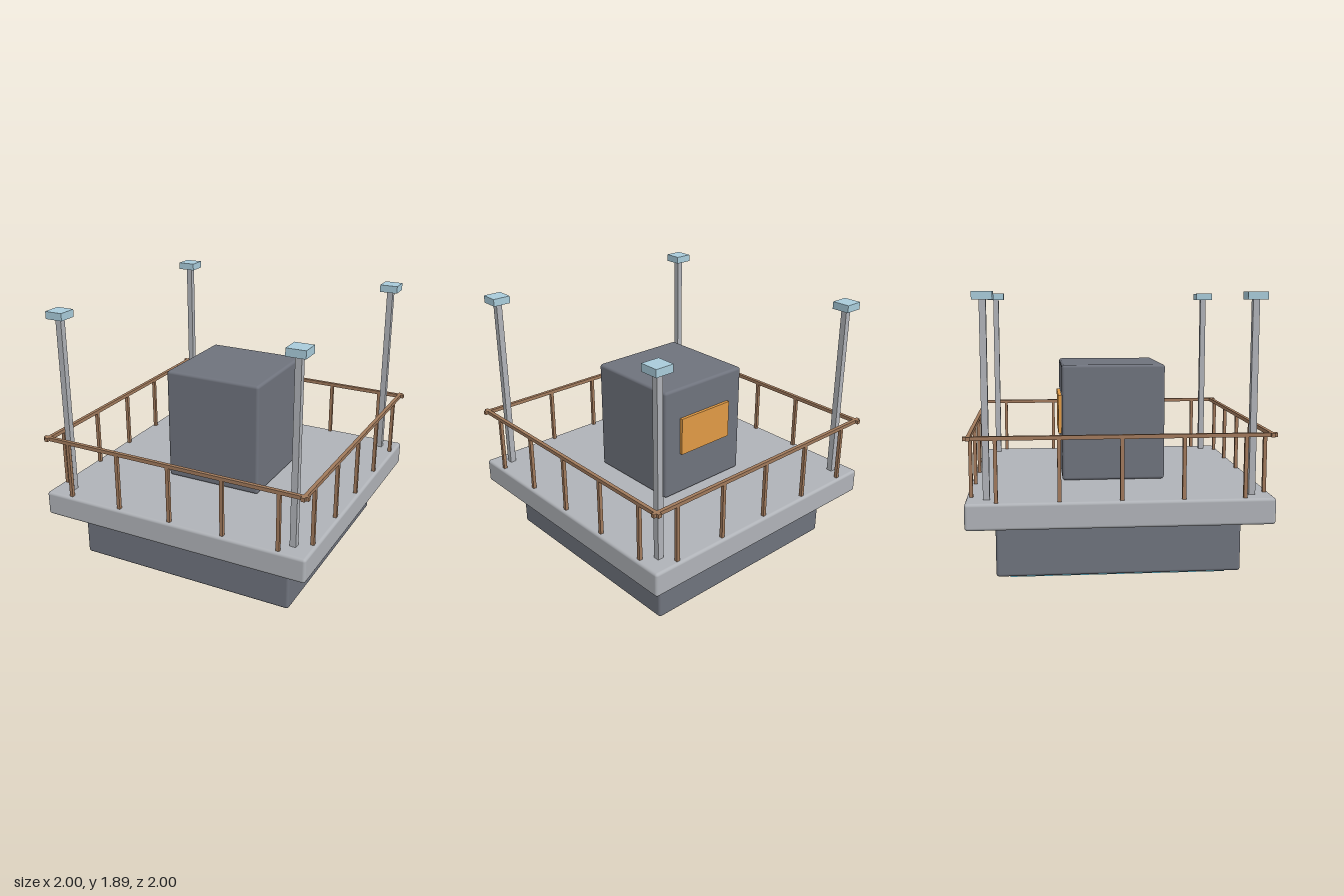
import * as THREE from 'three';
import { RoundedBoxGeometry } from 'three/addons/geometries/RoundedBoxGeometry.js';

const mat = (color) => new THREE.MeshStandardMaterial({ color });

export function createModel() {
  const model = new THREE.Group();
  const deckGrey = mat(0xb0b3b8), slate = mat(0x6f737d), brown = mat(0xa17a5c);
  const paleBlue = mat(0xa9ccdb), cyan = mat(0x78d2ea), orange = mat(0xe09a45);

  // Box spanning y0..y1, centred on x, z; a radius rounds its edges
  const block = (name, material, w, d, y0, y1, x = 0, z = 0, radius = 0, parent = model) => {
    const h = y1 - y0;
    const geometry = radius
      ? new RoundedBoxGeometry(w, h, d, 3, radius)
      : new THREE.BoxGeometry(w, h, d);
    const mesh = new THREE.Mesh(geometry, material);
    mesh.name = name;
    mesh.position.set(x, (y0 + y1) / 2, z);
    parent.add(mesh);
  };

  // Body, from the bottom up
  block('undersidePanel', cyan, 1.45, 1.45, 0, 0.04);
  block('base', slate, 1.63, 1.63, 0.03, 0.39, 0, 0, 0.02);
  block('deck', deckGrey, 2, 2, 0.395, 0.57, 0, 0, 0.02);
  block('cabin', slate, 0.725, 0.725, 0.573, 1.39, 0, 0, 0.02);
  block('cabinBackPanel', orange, 0.455, 0.03, 0.89, 1.165, 0, -0.37);

  // Corner masts with square caps
  for (const x of [-0.865, 0.865]) {
    for (const z of [-0.865, 0.865]) {
      block('mast', deckGrey, 0.043, 0.043, 0.565, 1.84, x, z);
      block('mastCap', paleBlue, 0.13, 0.13, 1.838, 1.89, x, z);
    }
  }

  // One railing per side, turned about the centre
  for (let side = 0; side < 4; side++) {
    const railing = new THREE.Group();
    railing.name = 'railing';
    railing.rotation.y = side * Math.PI / 2;
    block('handrail', brown, 2, 0.026, 0.969, 0.995, 0, 0.967, 0, railing);
    for (let i = -2; i <= 2; i++) {
      block('railingPost', brown, 0.024, 0.024, 0.565, 0.972, i * 0.4, 0.967, 0, railing);
    }
    model.add(railing);
  }
  return model;
}
